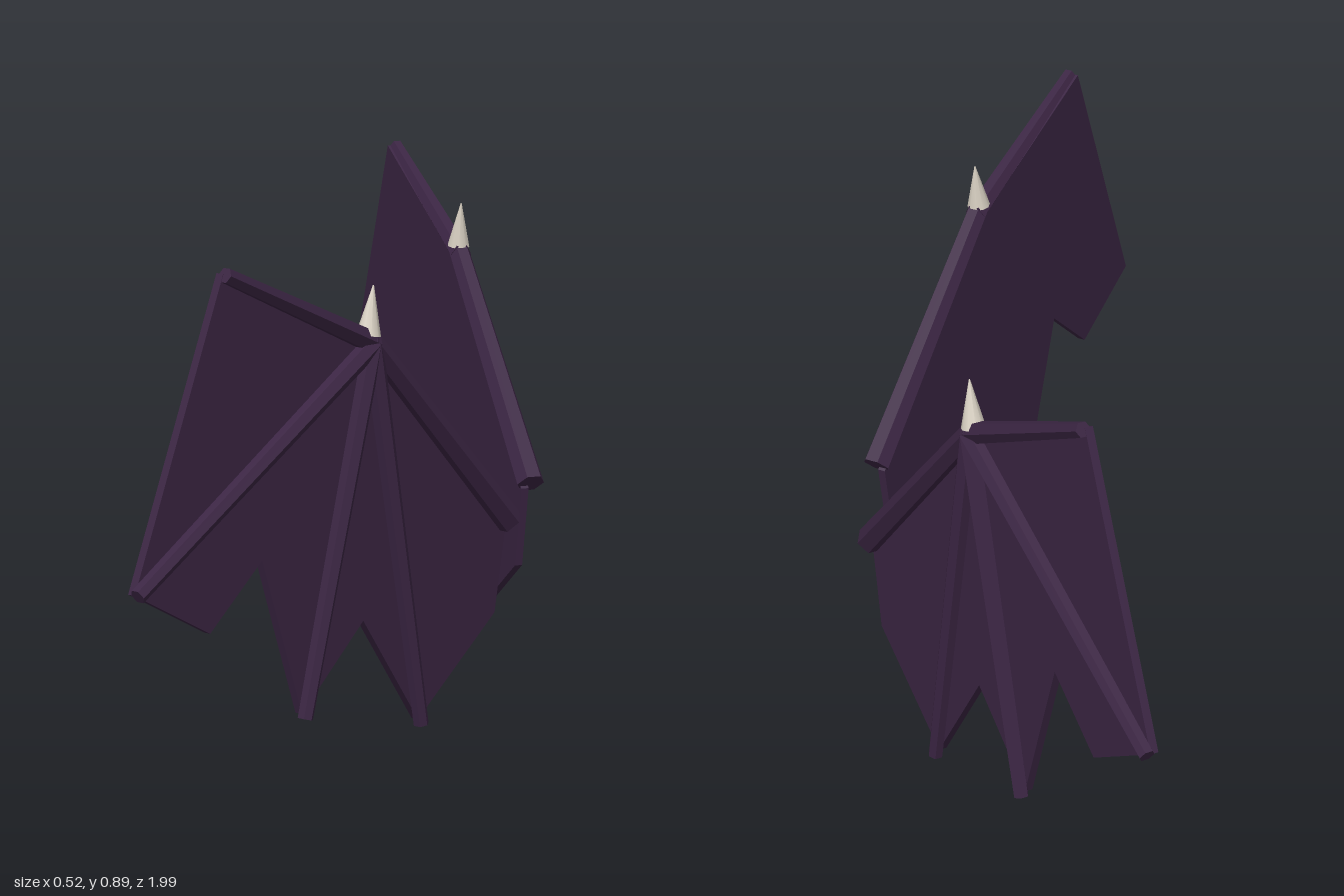
import * as THREE from 'three';

const purple = new THREE.MeshStandardMaterial({ color: 0x3b2543, flatShading: true });
purple.name = 'darkPurple';
const ivory = new THREE.MeshStandardMaterial({ color: 0xd8d0c2 });
ivory.name = 'ivory';

// Each wing lies in a vertical plane swept 30 degrees; points are [z, y].
const SWEEP = Math.PI / 6;
const along = (z) => z / Math.cos(SWEEP);

const elbow = [0.48, 0.71];
const outline = [
  [0.797, 0.878], [0.985, 0.38], [0.832, 0.28], [0.72, 0.38], [0.635, 0.09],
  [0.495, 0.222], [0.366, 0.01], [0.178, 0.163], [0.152, 0.32], elbow,
];
const fingerTips = [[0.986, 0.38], [0.635, 0.083], [0.366, 0.003]];

// Tapered rod between two points of the wing plane
function rod(name, a, b, ra, rb, depth, sides, material) {
  const start = new THREE.Vector3(along(a[0]), a[1], depth);
  const end = new THREE.Vector3(along(b[0]), b[1], depth);
  const dir = end.clone().sub(start);
  const mesh = new THREE.Mesh(new THREE.CylinderGeometry(rb, ra, dir.length(), sides), material);
  mesh.position.copy(start).add(end).multiplyScalar(0.5);
  mesh.quaternion.setFromUnitVectors(new THREE.Vector3(0, 1, 0), dir.normalize());
  mesh.name = name;
  return mesh;
}

function buildWing(name, side) {
  const wing = new THREE.Group();
  wing.name = name;
  const out = -side; // local direction of the face that carries the fingers

  // Membrane with scalloped lower edge
  const shape = new THREE.Shape(outline.map(([z, y]) => new THREE.Vector2(along(z), y)));
  const skin = new THREE.ExtrudeGeometry(shape, { depth: 0.015, bevelEnabled: false });
  skin.translate(0, 0, -0.0075 - out * 0.011);
  const membrane = new THREE.Mesh(skin, purple);
  membrane.name = 'membrane';
  wing.add(membrane);

  // Arm along the leading edge
  wing.add(rod('upperArm', [0.151, 0.329], [0.485, 0.717], 0.027, 0.021, 0, 6, purple));
  wing.add(rod('foreArm', [0.475, 0.71], [0.797, 0.876], 0.021, 0.014, 0, 6, purple));

  // Fingers fanning out from the elbow
  fingerTips.forEach((tip, i) =>
    wing.add(rod('finger' + (i + 1), elbow, tip, 0.019, 0.014, out * 0.004, 6, purple)));

  // Claw on the elbow
  wing.add(rod('claw', [0.486, 0.725], [0.474, 0.811], 0.022, 0.001, 0, 10, ivory));

  wing.rotation.y = out * (Math.PI / 2 + SWEEP);
  wing.position.x = 0.32;
  return wing;
}

export function createModel() {
  const model = new THREE.Group();
  model.name = 'wingPair';
  model.add(buildWing('frontWing', 1), buildWing('backWing', -1));
  return model;
}
